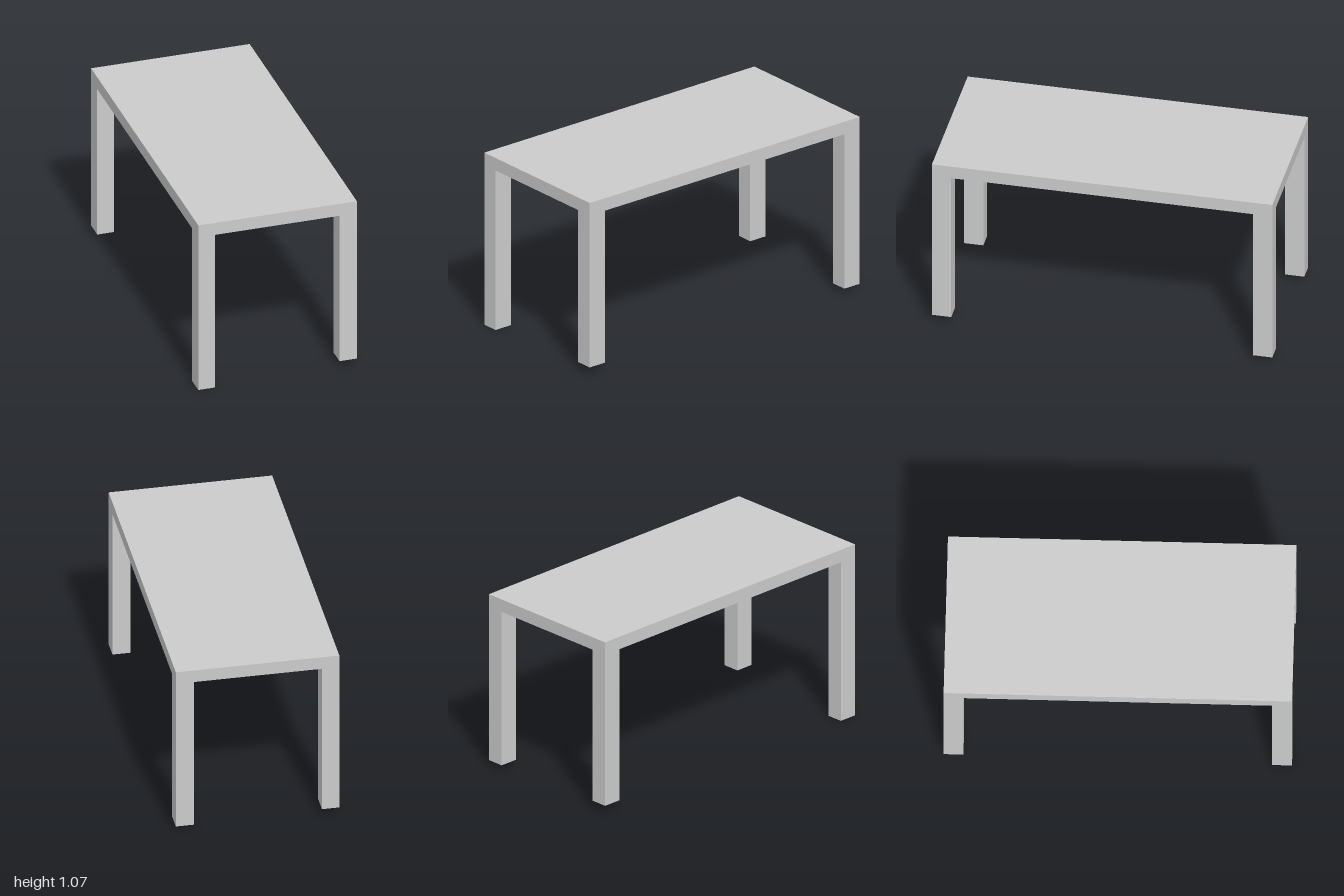
import * as THREE from 'three';

const HALF_X = 0.478, HALF_Z = 1, TOP = 1.072, UNDERSIDE = 0.994;

export function createModel() {
  const table = new THREE.Group();
  table.name = 'table';
  const material = new THREE.MeshStandardMaterial({ color: 0xcccccc, flatShading: true });

  const addBox = (name, w, h, d, x, y, z) => {
    const mesh = new THREE.Mesh(new THREE.BoxGeometry(w, h, d), material);
    mesh.name = name;
    mesh.position.set(x, y, z);
    table.add(mesh);
  };

  // Flat slab top
  addBox('tableTop', HALF_X * 2, TOP - UNDERSIDE, HALF_Z * 2, 0, (TOP + UNDERSIDE) / 2, 0);

  // Square corner legs, flush with the top's edges; their feet end at slightly different heights
  const legs = [
    { name: 'frontLeftLeg', sx: 1, sz: 1, foot: 0.047, w: 0.105 },
    { name: 'frontRightLeg', sx: -1, sz: 1, foot: 0, w: 0.102 },
    { name: 'backLeftLeg', sx: 1, sz: -1, foot: 0.032, w: 0.105 },
    { name: 'backRightLeg', sx: -1, sz: -1, foot: 0.047, w: 0.102 },
  ];
  const depth = 0.114;
  for (const { name, sx, sz, foot, w } of legs) {
    addBox(name, w, UNDERSIDE - foot, depth,
      sx * (HALF_X - w / 2), (UNDERSIDE + foot) / 2, sz * (HALF_Z - depth / 2));
  }
  return table;
}
